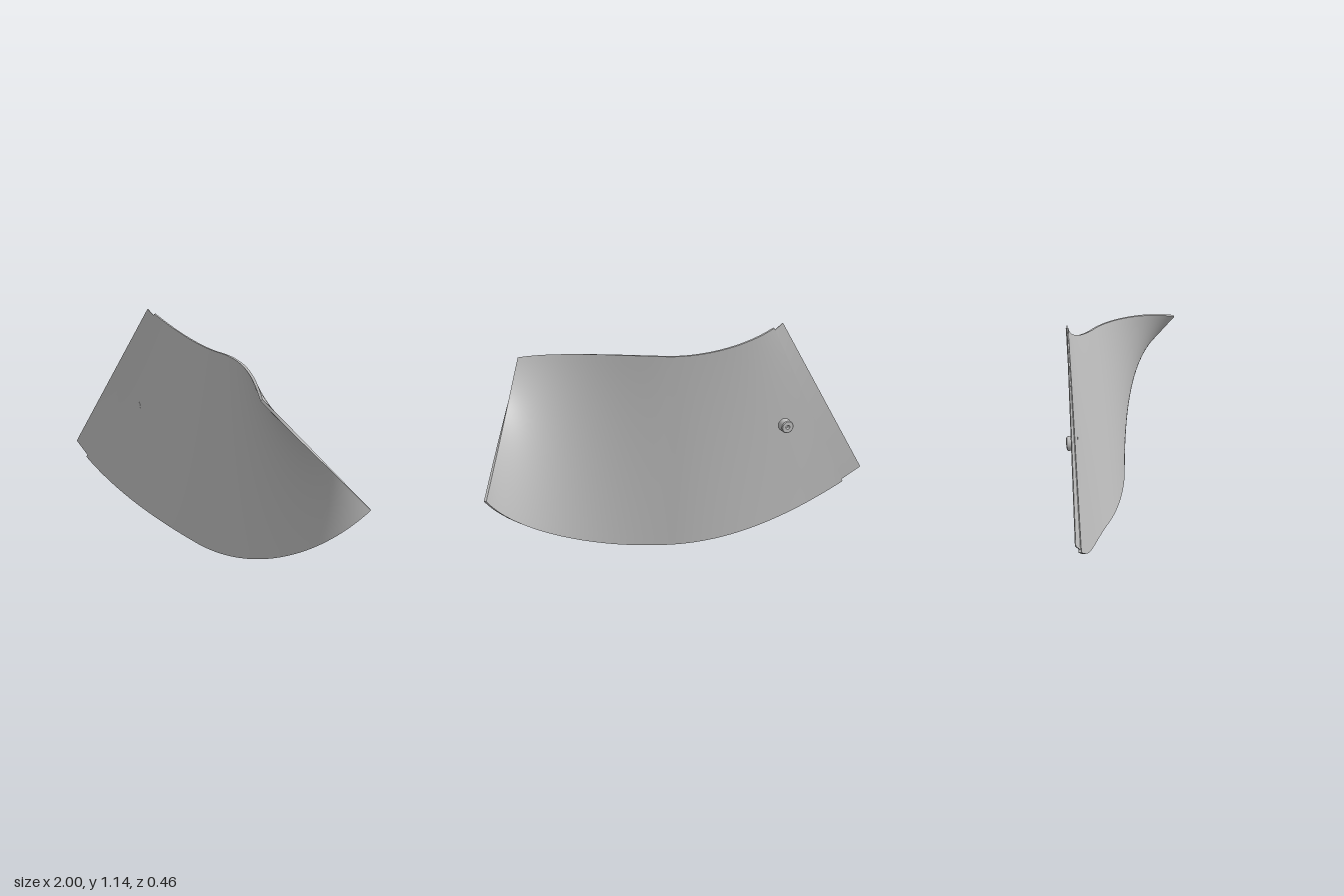
import * as THREE from 'three';

const steel = new THREE.MeshStandardMaterial({ color: 0xc5c5c5 });
steel.name = 'light grey steel';

// Smooth edge made of two joined cubic curves, seven control points in all
function edgeCurve(points) {
  const p = points.map((c) => new THREE.Vector3(...c));
  const first = new THREE.CubicBezierCurve3(...p.slice(0, 4));
  const second = new THREE.CubicBezierCurve3(...p.slice(3));
  return (u) => (u < 0.5 ? first.getPoint(u * 2) : second.getPoint(u * 2 - 1));
}

// Solid thin sheet ruled between a lower and an upper edge, thickened along its normal
function sheet(at, nu, nv, front, back) {
  const pos = [], idx = [];
  const normal = (u, v) => {
    const e = 0.002;
    const du = at(Math.min(u + e, 1), v).sub(at(Math.max(u - e, 0), v));
    const dv = at(u, 1).sub(at(u, 0));
    return du.cross(dv).normalize();
  };
  const point = (u, v, d) => at(u, v).addScaledVector(normal(u, v), d);
  const grid = (fn, a, b) => {
    const start = pos.length / 3;
    for (let i = 0; i <= a; i++) for (let j = 0; j <= b; j++) pos.push(...fn(i / a, j / b).toArray());
    for (let i = 0; i < a; i++) for (let j = 0; j < b; j++) {
      const p = start + i * (b + 1) + j, q = p + b + 1;
      idx.push(p, q, q + 1, p, q + 1, p + 1);
    }
  };
  const depth = (t) => back + (front - back) * t;
  grid((s, t) => point(s, t, front), nu, nv);
  grid((s, t) => point(1 - s, t, back), nu, nv);
  grid((s, t) => point(s, 0, depth(t)), nu, 1);
  grid((s, t) => point(1 - s, 1, depth(t)), nu, 1);
  grid((s, t) => point(0, s, depth(1 - t)), nv, 1);
  grid((s, t) => point(1, s, depth(t)), nv, 1);
  const g = new THREE.BufferGeometry();
  g.setAttribute('position', new THREE.Float32BufferAttribute(pos, 3));
  g.setIndex(idx);
  g.computeVertexNormals();
  return g;
}

function add(group, name, geometry) {
  const mesh = new THREE.Mesh(geometry, steel);
  mesh.name = name;
  group.add(mesh);
  return mesh;
}

export function createModel() {
  const model = new THREE.Group();
  model.name = 'twistedBlade';

  // Main blade: straight rulings join matching points on the two edges
  const lower = edgeCurve([
    [-0.9, 0.24, -0.067], [-0.6, 0.085, -0.065], [-0.28, 0.003, -0.106], [0.03, 0.003, -0.06],
    [0.42, 0.003, 0], [0.84, 0.155, 0], [0.997, 0.42, -0.23],
  ]);
  const upper = edgeCurve([
    [-0.43, 1.12, -0.185], [-0.27, 1.04, -0.205], [-0.06, 1.002, -0.178], [0.1, 1.01, -0.14],
    [0.35, 1.022, -0.08], [0.57, 1.014, 0.1], [0.737, 0.965, 0.228],
  ]);
  const ruled = (u, v) => lower(u).lerp(upper(u ** 1.15), v);
  add(model, 'blade', sheet(ruled, 80, 24, 0.006, -0.006));

  // Narrow tapering strip along one end, thinner than the blade
  const outerLow = new THREE.Vector3(-1, 0.312, -0.072), outerTop = new THREE.Vector3(-0.48, 1.14, -0.178);
  const strip = (u, v) => outerLow.clone().lerp(outerTop, v).lerp(ruled(0, 0.012 + v * 0.975), u);
  add(model, 'edgeStrip', sheet(strip, 2, 8, 0.002, -0.002));

  // Hollow boss on the back
  const boss = add(model, 'backBoss', new THREE.LatheGeometry([
    [0, 0.03], [0.011, 0.03], [0.011, 0.03], [0.011, 0.05], [0.011, 0.05], [0.029, 0.05],
    [0.029, 0.05], [0.033, 0.046], [0.033, 0.046], [0.033, -0.004],
  ].reverse().map(([r, y]) => new THREE.Vector2(r, y)), 32));
  boss.position.set(-0.523, 0.611, -0.128);
  boss.quaternion.setFromUnitVectors(new THREE.Vector3(0, 1, 0), new THREE.Vector3(-0.06, -0.08, -1).normalize());

  return model;
}
